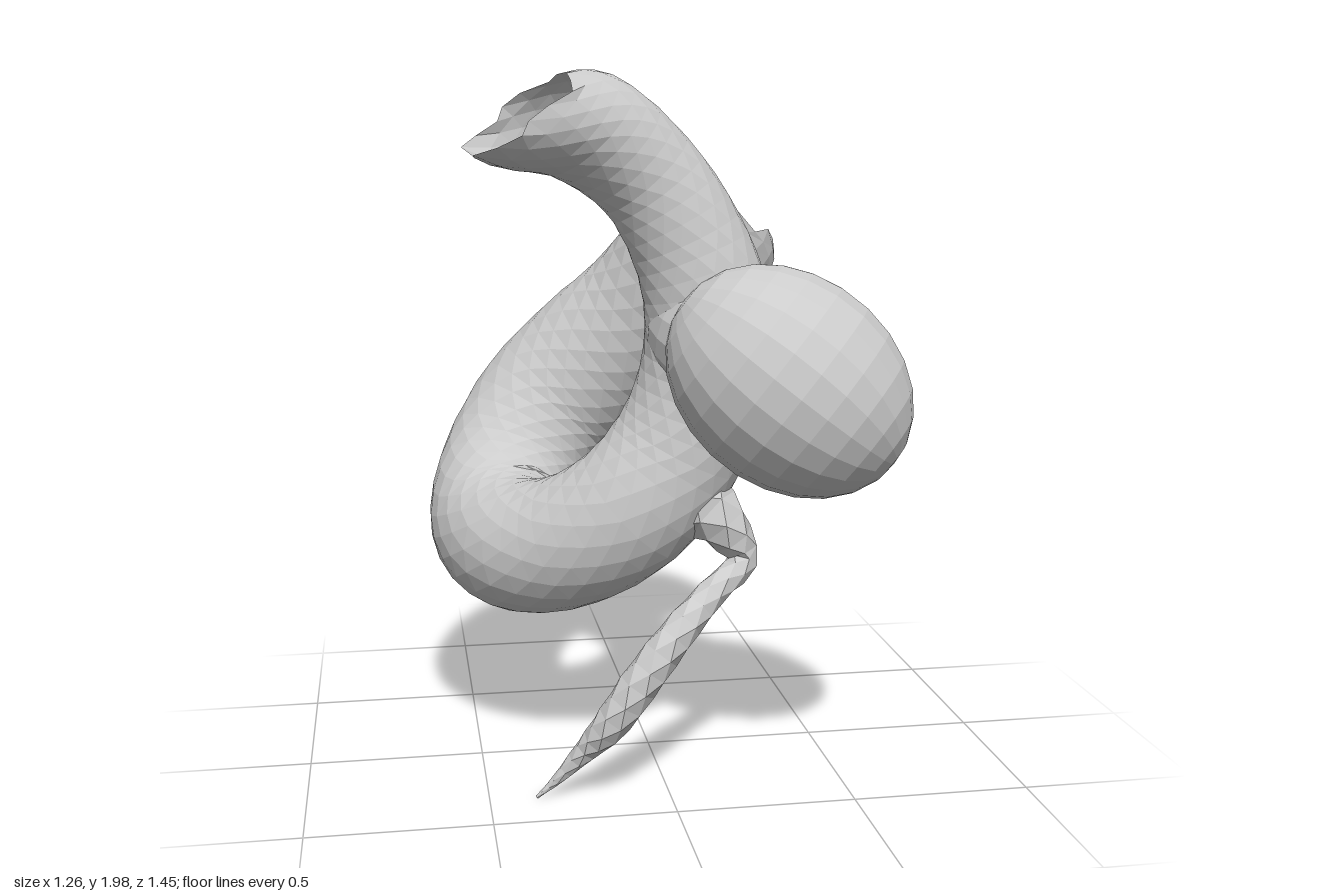
import * as THREE from 'three';

const V = (x, y, z) => new THREE.Vector3(x, y, z);
const material = new THREE.MeshStandardMaterial({ color: 0xcccccc, flatShading: true, side: THREE.DoubleSide });

// Sweep a round section along stations [x, y, z, radius].
// cuts: optional slanted end planes { start, end } given by their normals; shape adjusts each point.
function sweep(name, stations, rings, sides, { cuts = {}, shape } = {}) {
  const path = new THREE.CatmullRomCurve3(stations.map(s => V(s[0], s[1], s[2])));
  const radii = new THREE.SplineCurve(stations.map((s, i) => new THREE.Vector2(i, s[3])));
  const segments = stations.length - 1;
  const positions = [], index = [];
  const n = V(1, 0, 0.3), b = V(0, 0, 0);
  const startT = path.getTangent(0), endT = path.getTangent(1);
  for (let i = 0; i <= rings; i++) {
    const t = i / rings;
    const c = path.getPoint(t), r = radii.getPoint(t).y, T = path.getTangent(t);
    n.addScaledVector(T, -n.dot(T)).normalize(); // carry the frame along without twist
    b.crossVectors(T, n);
    const wStart = Math.max(0, 1 - t * segments / 2);
    const wEnd = Math.max(0, 1 - (1 - t) * segments / 2);
    for (let j = 0; j < sides; j++) {
      const a = ((j + (i % 2) * 0.5) / sides) * Math.PI * 2;
      const d = V(0, 0, 0).addScaledVector(n, Math.cos(a)).addScaledVector(b, Math.sin(a));
      const p = c.clone().addScaledVector(d, r);
      // Slide the rim along the tube so it lies in the slanted plane
      if (cuts.start) p.addScaledVector(T, -wStart * r * d.dot(cuts.start) / startT.dot(cuts.start));
      if (cuts.end) p.addScaledVector(T, -wEnd * r * d.dot(cuts.end) / endT.dot(cuts.end));
      if (shape) shape(p, i, j);
      positions.push(p.x, p.y, p.z);
      if (i < rings) {
        const j1 = (j + 1) % sides, p0 = i * sides + j, p1 = i * sides + j1;
        const q0 = p0 + sides, q1 = p1 + sides;
        if (i % 2) {
          index.push(p0, p1, q1, p0, q1, q0);
        } else {
          index.push(p0, p1, q0, p1, q1, q0);
        }
      }
    }
  }
  const g = new THREE.BufferGeometry();
  g.setAttribute('position', new THREE.Float32BufferAttribute(positions, 3));
  g.setIndex(index);
  g.computeVertexNormals();
  const mesh = new THREE.Mesh(g, material);
  mesh.name = name;
  return mesh;
}

// Ellipsoid with its long axis pointing along dir
function ellipsoid(name, center, dir, long, short, detail) {
  const g = new THREE.SphereGeometry(1, detail, Math.round(detail * 0.6));
  g.scale(short, long, short);
  const mesh = new THREE.Mesh(g, material);
  mesh.quaternion.setFromUnitVectors(V(0, 1, 0), dir.normalize());
  mesh.position.copy(center);
  mesh.name = name;
  return mesh;
}

export function createModel() {
  const model = new THREE.Group();
  model.name = 'vesselWithBulge';

  // Main vessel: from the wide open end, round the low loop, up to the narrow open end
  const rings = 64;
  model.add(sweep('mainVessel', [
    [0.22, 1.62, -0.29, 0.225],
    [0.20, 1.45, -0.31, 0.235],
    [0.08, 1.26, -0.41, 0.24],
    [-0.09, 1.10, -0.485, 0.24],
    [-0.25, 0.95, -0.495, 0.23],
    [-0.37, 0.78, -0.41, 0.22],
    [-0.415, 0.65, -0.25, 0.215],
    [-0.37, 0.62, -0.07, 0.2],
    [-0.23, 0.665, 0.07, 0.195],
    [-0.07, 0.78, 0.15, 0.195],
    [0.06, 0.95, 0.165, 0.19],
    [0.12, 1.15, 0.185, 0.175],
    [0.13, 1.35, 0.21, 0.175],
    [0.07, 1.54, 0.205, 0.16],
    [-0.04, 1.71, 0.205, 0.15],
    [-0.20, 1.83, 0.24, 0.155],
    [-0.39, 1.87, 0.35, 0.135],
  ], rings, 18, {
    cuts: { start: V(0.5, 0.85, 0).normalize(), end: V(-0.55, 0.8, 0.2).normalize() },
    shape: (p, i, j) => {
      if (i === 0) p.y += 0.02 * Math.sin(j * 2.3);        // ragged rims
      if (i === rings) p.x += 0.02 * Math.sin(j * 1.9);
      p.y = Math.min(p.y, p.z < 0 ? 1.73 : 2);
    },
  }));

  // Bulge on the front, and the wide neck joining it to the vessel
  model.add(ellipsoid('bulge', V(0.31, 1.17, 0.43), V(0.75, -0.6, 0.25), 0.355, 0.285, 22));
  model.add(ellipsoid('bulgeNeck', V(0.19, 1.26, 0.28), V(0.6, -0.3, 0.6), 0.26, 0.205, 20));

  // Thin side branch, faceted and tapering to a point
  model.add(sweep('sideBranch', [
    [0.08, 0.82, 0.20, 0.12],
    [0.17, 0.74, 0.26, 0.075],
    [0.225, 0.64, 0.27, 0.045],
    [0.13, 0.575, 0.34, 0.042],
    [0.02, 0.48, 0.40, 0.05],
    [-0.08, 0.36, 0.42, 0.055],
    [-0.17, 0.23, 0.41, 0.05],
    [-0.24, 0.14, 0.375, 0.032],
    [-0.32, 0.05, 0.355, 0.014],
    [-0.37, 0.005, 0.35, 0.005],
  ], 26, 6, { shape: p => { p.y = Math.max(p.y, 0); } }));

  return model;
}
